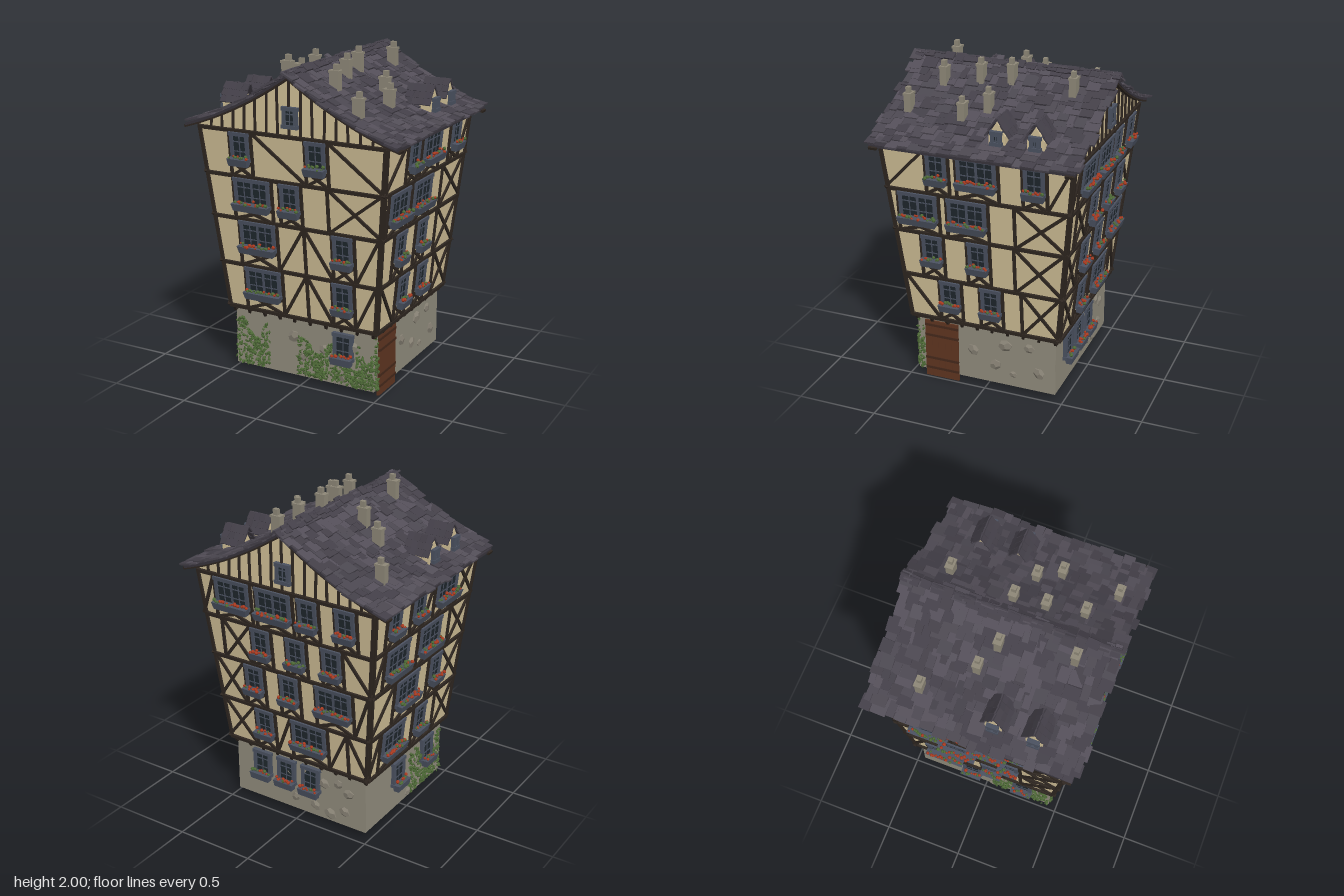
import * as THREE from 'three';
import { mergeGeometries } from 'three/addons/utils/BufferGeometryUtils.js';

const C = {
  plaster: 0xd0bf96, timber: 0x2e2620, slate: 0x4a5160, glass: 0x1f272d, stone: 0x8f8a7b, rock: 0x878174,
  door: 0x5e3420, iron: 0x45281a, leaf: 0x4d6936, flower: 0xa83a20, chimney: 0x8d8777, roof: 0x37333b,
};
const TILES = [0x4b4750, 0x433f48, 0x534e58];
const FLOORS = [0, 0.29, 0.59, 0.86, 1.14]; // above the ground floor
const WIDTHS = { N: 0.125, W: 0.24 };

let seed = 7;
const rnd = (a = 0, b = 1) => {
  seed = (seed * 16807) % 2147483647;
  return a + (b - a) * (seed / 2147483647);
};
const mats = {};
const mat = (color) => (mats[color] ??= new THREE.MeshStandardMaterial({ color, flatShading: true, side: THREE.DoubleSide }));
const place = (g, x, y, z, rx = 0, ry = 0, rz = 0) =>
  g.applyMatrix4(new THREE.Matrix4().makeRotationFromEuler(new THREE.Euler(rx, ry, rz)).setPosition(x, y, z));
const box = (w, h, d, x, y, z, rx, ry, rz) => place(new THREE.BoxGeometry(w, h, d), x, y, z, rx, ry, rz);
const add = (parent, name, color, geos) => {
  const mesh = new THREE.Mesh(Array.isArray(geos) ? mergeGeometries(geos) : geos, mat(color));
  mesh.name = name;
  parent.add(mesh);
};
const group = (parent, name) => {
  const g = new THREE.Group();
  g.name = name;
  parent.add(g);
  return g;
};
const beam = (x1, y1, x2, y2, w = 0.018, d = 0.02) =>
  box(Math.hypot(x2 - x1, y2 - y1), w, d, (x1 + x2) / 2, (y1 + y2) / 2, 0.002, 0, 0, Math.atan2(y2 - y1, x2 - x1));

// Height and slope of the swept roof at a distance from the ridge
const roofY = (x) => 1.92 - 0.68 * Math.abs(x) + 0.27 * x * x;
const roofAngle = (a) => Math.atan(-0.68 + 0.54 * a);

// Framed window, with an optional planter; (x, y) is its bottom centre on the wall
function addWindow(parent, x, y, w, h, planter = true) {
  const g = group(parent, 'window');
  g.position.set(x, y, 0);
  add(g, 'windowGlass', C.glass, box(w - 0.02, h - 0.02, 0.02, 0, h / 2, 0.004));
  const bars = [-1, 1].flatMap((s) => [
    box(0.022, h, 0.034, s * (w / 2 - 0.011), h / 2, 0.006),
    box(w + 0.01, 0.022, 0.04, 0, h / 2 + s * (h / 2 - 0.011), 0.006)]);
  const cols = w > 0.2 ? 4 : 2;
  for (let i = 1; i < cols; i++) bars.push(box(i === 2 ? 0.016 : 0.006, h, 0.022, (i / cols - 0.5) * (w - 0.03), h / 2, 0.006));
  for (let i = 1; i < 3; i++) bars.push(box(w, 0.006, 0.022, 0, (h * i) / 3, 0.006));
  add(g, 'windowFrame', C.slate, bars);
  if (!planter) return;
  // tapered planter full of blooms
  const trough = new THREE.BoxGeometry(w + 0.01, 0.045, 0.05);
  const p = trough.attributes.position;
  for (let i = 0; i < p.count; i++) if (p.getY(i) < 0) p.setXYZ(i, p.getX(i) * 0.92, p.getY(i), p.getZ(i) * 0.7);
  trough.computeVertexNormals();
  add(g, 'planter', C.slate, place(trough, 0, 0, 0.038));
  const red = [], green = [];
  for (let u = -w / 2 + 0.01; u < w / 2; u += 0.014)
    (rnd() < 0.65 ? red : green).push(place(new THREE.IcosahedronGeometry(rnd(0.007, 0.013), 0), u, rnd(0.022, 0.042), rnd(0.028, 0.06)));
  if (red.length) add(g, 'flowers', C.flower, red);
  if (green.length) add(g, 'leaves', C.leaf, green);
}

// Bay types: relative width and the braces between x1 and x2
const rise = (x1, x2, b, t) => [beam(x1, b, x2, t)];
const fall = (x1, x2, b, t) => [beam(x1, t, x2, b)];
const cross = (...bay) => [...rise(...bay), ...fall(...bay)];
const peak = (x1, x2, b, t) => {
  const m = (x1 + x2) / 2;
  return [beam(x1, b, m, t), beam(m, t, x2, b), beam(m, b, m, t)];
};
const postCross = (x1, x2, b, t) => {
  const q = x1 + (x2 - x1) / 3;
  return [beam(q, b, q, t), ...cross(q, x2, b, t)];
};
const none = () => [];
const BAYS = {
  '.': [0.4, none], s: [1.3, none], d: [1.3, rise], f: [2.4, rise],
  b: [2.4, fall], x: [2.5, cross], a: [3, peak], p: [4, postCross],
};

// Storeys from the bottom up: N and W are narrow and wide windows, the rest bay types
const GABLED = { d: 0.475, half: 0.5, lean: 0.115, grow: 0.11 };
const EAVES = { d: 0.5, half: 0.475, lean: 0.11, grow: 0.115 };
const FACES = [
  { ...GABLED, name: 'frontWall', turn: 0, storeys: ['sWaNd', 'sWaNd', 'sW.Np', 'sNbNb'], ground: [0.275], rocks: 5 },
  { ...EAVES, name: 'leftWall', turn: 1, storeys: ['bNsNp', 'sNsNp', '.W.Wp', 'fN.WsNd'], ground: [], rocks: 6 },
  { ...GABLED, name: 'backWall', turn: 2, storeys: ['xNdWa', 'xNsNsWd', 'pNsNsNb', 'dW.W.NsNs'], ground: [-0.275, -0.095, 0.085], rocks: 9 },
  { ...EAVES, name: 'rightWall', turn: 3, storeys: ['dWsNp', 'fWsNx', 'dWsWp', 'sNsNdWx'], ground: [-0.09, 0.26], rocks: 5 },
];

// Half-timbered face leaning outward, over its stretch of stone ground floor
function addFace(root, f) {
  const side = group(root, f.name);
  side.rotation.y = (f.turn * Math.PI) / 2;
  const wall = group(side, 'timberWall');
  wall.position.set(0, 0.43, f.d);
  wall.rotation.x = Math.atan(f.lean / 1.14);
  const halfAt = (v) => f.half + (f.grow * v) / 1.14;
  const panel = new THREE.Shape().moveTo(-halfAt(0), 0).lineTo(halfAt(0), 0).lineTo(halfAt(1.14), 1.146).lineTo(-halfAt(1.14), 1.146);
  add(wall, 'plasterPanel', C.plaster, new THREE.ShapeGeometry(panel));
  const beams = FLOORS.map((v) => beam(-halfAt(v), v, halfAt(v), v, 0.021, 0.026));
  for (const s of [-1, 1]) beams.push(beam(s * (halfAt(0) - 0.006), 0, s * (halfAt(1.14) - 0.006), 1.14, 0.018, 0.022));
  f.storeys.forEach((codes, i) => {
    const b = FLOORS[i], t = FLOORS[i + 1], sill = t - 0.18, half = halfAt((b + t) / 2);
    let free = half * 2, weight = 0, x = -half;
    for (const c of codes) {
      if (WIDTHS[c]) free -= WIDTHS[c] + 0.02;
      else weight += BAYS[c][0];
    }
    for (const c of codes) {
      const next = x + (WIDTHS[c] ? WIDTHS[c] + 0.02 : (BAYS[c][0] * free) / weight);
      if (WIDTHS[c]) {
        addWindow(wall, (x + next) / 2, sill, WIDTHS[c], 0.175);
        beams.push(beam(x, b, x, t), beam(next, b, next, t), ...cross(x, next, b, sill - 0.01));
      } else beams.push(...BAYS[c][1](x, next, b, t));
      x = next;
    }
  });
  add(wall, 'timberFrame', C.timber, beams);

  // stone storey, joist ends, embedded rocks
  const base = group(side, 'groundFloor');
  const half = f.half - 0.024;
  base.position.z = f.d - 0.026;
  add(base, 'stoneWall', C.stone, place(new THREE.PlaneGeometry(half * 2, 0.39), 0, 0.235, 0));
  const joists = [];
  for (let i = 0; i <= 9; i++) joists.push(box(0.016, 0.05, 0.024, (i / 9 - 0.5) * 2 * half, 0.412, 0.012, 0.5, 0, rnd(-0.3, 0.3)));
  add(base, 'joistEnds', C.timber, joists);
  for (const x of f.ground) addWindow(base, x, 0.21, 0.13, 0.17);
  const rocks = [];
  for (let i = 0; i < f.rocks; i++)
    rocks.push(place(new THREE.DodecahedronGeometry(rnd(0.025, 0.05), 0).scale(1, 0.8, 0.4),
      -0.1 + (0.5 * (i + rnd())) / f.rocks, i % 2 ? rnd(0.07, 0.18) : rnd(0.24, 0.37), 0, 0, 0, rnd(-1, 1)));
  add(base, 'rocks', C.rock, rocks);
  return base;
}

// Climbing leaves over a patch whose top edge is humped
function addIvy(base, x1, x2, top, n) {
  const leaves = [];
  for (let i = 0; i < n; i++) {
    const t = rnd(), y = 0.05 + (top - 0.05) * (0.8 + 0.2 * Math.sin(t * 7 + 0.6)) * rnd();
    leaves.push(place(new THREE.OctahedronGeometry(rnd(0.01, 0.018), 0).scale(1, 0.8, 0.5),
      x1 + (x2 - x1) * t, y, rnd(0, 0.014), rnd(-1, 1), rnd(-1, 1), rnd(0, 3)));
  }
  add(base, 'ivy', C.leaf, leaves);
}

function addDoor(base) {
  const g = group(base, 'door');
  g.position.set(-0.29, 0, 0.002);
  add(g, 'doorPlanks', C.door, [-2, -1, 0, 1, 2].map((i) => box(0.043, 0.39, 0.016, i * 0.044, 0.195, 0)));
  add(g, 'doorStraps', C.iron, [0.06, 0.13, 0.29, 0.36].map((y) => box(0.22, 0.016, 0.024, 0, y, 0)));
}

// Small gabled dormer; its local +z points out of the roof
function addDormer(root, s, z) {
  const g = group(root, 'dormer');
  g.position.set(s * 0.56, 1.615, z);
  g.rotation.y = (s * Math.PI) / 2;
  const gable = new THREE.Shape().moveTo(-0.05, -0.03).lineTo(0.05, -0.03).lineTo(0.05, 0.075).lineTo(0, 0.155).lineTo(-0.05, 0.075);
  add(g, 'dormerBody', C.plaster, new THREE.ExtrudeGeometry(gable, { depth: 0.13, bevelEnabled: false }).translate(0, 0, -0.12));
  const win = group(g, 'dormerWindow');
  win.position.z = 0.01;
  addWindow(win, 0, 0.02, 0.062, 0.085, false);
  const tiles = [];
  for (const e of [-1, 1]) for (let k = 0; k < 3; k++) for (let j = 0; j < 4; j++)
    tiles.push(box(0.046, 0.009, rnd(0.042, 0.052), e * (0.06 - k * 0.022), 0.085 + k * 0.035, -0.01 - j * 0.04, rnd(-0.2, 0.2), rnd(-0.15, 0.15), e * -0.95));
  add(g, 'dormerTiles', TILES[1], tiles);
}

function addRoof(root) {
  const xs = Array.from({ length: 29 }, (_, i) => -0.7 + i * 0.05);
  const band = (lim, off) => xs.map((x) => new THREE.Vector2((x * lim) / 0.7, roofY((x * lim) / 0.7) - off));
  const deck = new THREE.Shape([...band(0.69, 0), ...band(0.69, 0.016).reverse()]);
  add(root, 'roofDeck', C.roof, new THREE.ExtrudeGeometry(deck, { depth: 1.24, bevelEnabled: false }).translate(0, 0, -0.62));

  // ragged courses of slates, eaves first, then the ridge
  const sets = TILES.map(() => []);
  for (const s of [-1, 1]) {
    for (let a = 0.665; a > 0.01; a -= 0.046)
      for (let z = -0.66 + rnd(0, 0.035), end = rnd(0.625, 0.66); z < end - 0.03;) {
        const w = Math.min(rnd(0.035, 0.1), end - z), at = a + rnd(-0.016, 0.016);
        sets[Math.floor(rnd(0, 3))].push(box(rnd(0.075, 0.095), 0.011, w - 0.002, s * at, roofY(at) + rnd(0.006, 0.016), z + w / 2,
          0, rnd(-0.06, 0.06), s * (roofAngle(at) + rnd(0.05, 0.12))));
        z += w;
      }
    for (let z = -0.63; z < 0.64; z += 0.065)
      sets[1].push(box(rnd(0.035, 0.06), 0.011, rnd(0.045, 0.075), s * 0.014, 1.926 + rnd(0, 0.01), z, 0, rnd(-0.1, 0.1), -s * 0.6));
  }
  sets.forEach((t, i) => add(root, 'roofTiles', TILES[i], t));

  // gable panel, studs, rafters and attic window at both ends
  const panel = new THREE.Shape([new THREE.Vector2(-0.61, 1.56), ...band(0.61, 0.01), new THREE.Vector2(0.61, 1.56)]);
  for (const s of [-1, 1]) {
    const g = group(root, s > 0 ? 'frontGable' : 'backGable');
    g.position.z = s * 0.588;
    g.rotation.y = s > 0 ? 0 : Math.PI;
    add(g, 'gablePanel', C.plaster, new THREE.ShapeGeometry(panel));
    const timbers = [];
    for (let i = -7; i <= 7; i++) timbers.push(beam(i * 0.075, 1.57, i * 0.075 + rnd(-0.006, 0.006), roofY(i * 0.075) - 0.02, 0.012));
    for (let i = 0; i < 28; i++) timbers.push(beam(xs[i], roofY(xs[i]) - 0.018, xs[i + 1], roofY(xs[i + 1]) - 0.018, 0.016, 0.05));
    add(g, 'gableTimbers', C.timber, timbers);
    addWindow(g, 0.01, 1.615, 0.095, 0.125, false);
  }
}

// Stack with a cap and one pot, rising a set height above the slates
function addChimney(root, x, z) {
  const low = roofY(x) - 0.06, top = roofY(x) + 0.151, h = top - 0.04 - low;
  add(root, 'chimney', C.chimney, [box(0.06, h, 0.042, x, low + h / 2, z), box(0.07, 0.014, 0.05, x, top - 0.042, z),
    box(0.03, 0.04, 0.026, x + 0.006, top - 0.02, z)]);
}
const CHIMNEYS = [[-0.5, -0.35], [0.15, -0.42], [-0.31, -0.08], [-0.17, -0.01], [0.11, -0.03], [0.32, 0.03],
  [0.13, 0.155], [0.41, 0.155], [0.175, 0.37], [-0.11, 0.415], [0.39, 0.5]];

export function createModel() {
  const root = new THREE.Group();
  root.name = 'timberHouse';
  const [front, left, , right] = FACES.map((f) => addFace(root, f));
  addDoor(left);
  addIvy(front, -0.47, -0.24, 0.36, 220);
  addIvy(front, -0.04, 0.2, 0.31, 250);
  addIvy(front, 0.2, 0.47, 0.22, 220);
  addIvy(front, 0.36, 0.47, 0.33, 70);
  addIvy(left, -0.45, -0.41, 0.4, 60);
  addIvy(right, 0.05, 0.44, 0.36, 330);

  addRoof(root);
  for (const [s, z] of [[1, -0.35], [1, -0.12], [-1, 0.11], [-1, 0.35]]) addDormer(root, s, z);
  for (const [x, z] of CHIMNEYS) addChimney(root, x, z);
  return root;
}
